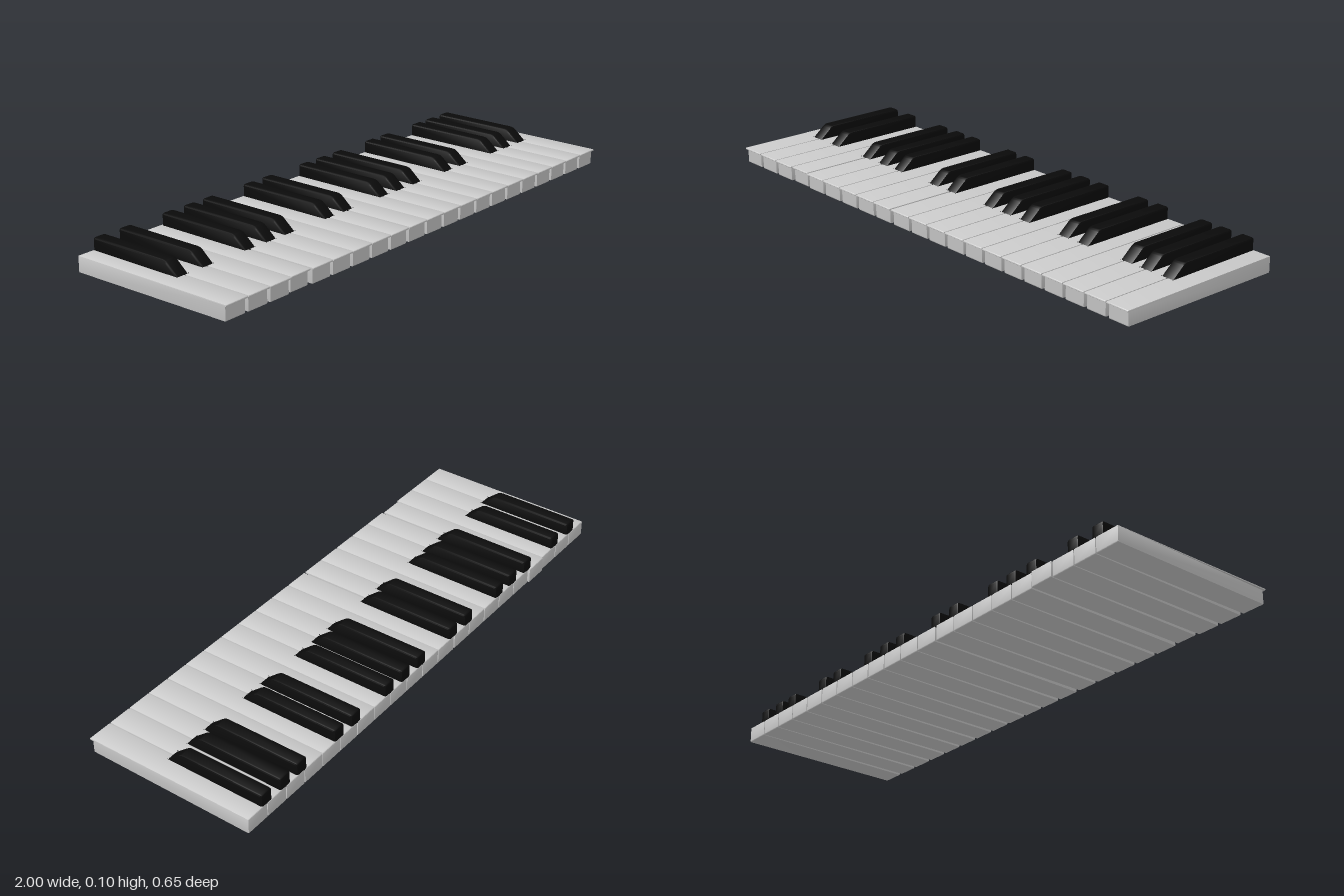
import * as THREE from 'three';
import { toCreasedNormals } from 'three/addons/utils/BufferGeometryUtils.js';

// Side outline from corners [z, y, radius], each corner rounded
function outline(corners) {
  const shape = new THREE.Shape();
  const n = corners.length;
  corners.forEach(([z, y, r], i) => {
    const here = new THREE.Vector2(z, y);
    const toward = ([a, b]) => new THREE.Vector2(a, b).sub(here).setLength(r).add(here);
    const a = toward(corners[(i + n - 1) % n]);
    const b = toward(corners[(i + 1) % n]);
    if (i === 0) shape.moveTo(a.x, a.y);
    else shape.lineTo(a.x, a.y);
    shape.quadraticCurveTo(z, y, b.x, b.y);
  });
  shape.closePath();
  return shape;
}

// Outline in z/y extruded across x with softened edges, centred on x = 0
function keyGeometry(corners, width, bevel) {
  const geometry = new THREE.ExtrudeGeometry(outline(corners), {
    depth: width - 2 * bevel, curveSegments: 3, bevelEnabled: true,
    bevelThickness: bevel, bevelSize: bevel, bevelOffset: -bevel, bevelSegments: 2,
  });
  geometry.translate(0, 0, bevel - width / 2);
  geometry.rotateY(-Math.PI / 2);
  return geometry;
}

// White key: body with a thin lip overhanging the front
const WHITE = [
  [0.318, 0, 0.004], [0.318, 0.05, 0.001], [0.326, 0.051, 0.002], [0.326, 0.057, 0.003],
  [-0.318, 0.057, 0.003], [-0.318, 0, 0.004],
];
// Black key: sloped front, rounded top edges
const BLACK = [
  [0.063, 0.053, 0.002], [0.005, 0.101, 0.012], [-0.317, 0.101, 0.008], [-0.317, 0.053, 0.002],
];

// The sides of a white key tuck in under the lip towards the front
function tuckSides(geometry) {
  const p = geometry.attributes.position;
  for (let i = 0; i < p.count; i++) {
    if (p.getY(i) > 0.0505) continue;
    const t = THREE.MathUtils.clamp((p.getZ(i) + 0.318) / 0.636, 0, 1);
    p.setX(i, p.getX(i) - Math.sign(p.getX(i)) * 0.005 * t);
  }
  return geometry;
}

// Seams between the white keys; the upper octaves are slightly narrower
const seam = (i) => (i <= 10 ? -1 + 0.0972 * i : -0.028 + (1.028 / 11) * (i - 10));

export function createModel() {
  const model = new THREE.Group();
  model.name = 'pianoKeyboard';
  const whiteMaterial = new THREE.MeshStandardMaterial({ color: 0xcccccc });
  const blackMaterial = new THREE.MeshStandardMaterial({ color: 0x0a0a0a });

  // Three octaves of white keys
  for (let i = 0; i < 21; i++) {
    const left = seam(i) + (i === 0 ? 0 : 0.0015);
    const right = seam(i + 1) - (i === 20 ? 0 : i === 3 || i === 8 ? 0.005 : 0.0015);
    const geometry = tuckSides(keyGeometry(WHITE, right - left, 0.002));
    const key = new THREE.Mesh(toCreasedNormals(geometry, 0.7), whiteMaterial);
    key.name = `whiteKey${i + 1}`;
    key.position.x = (left + right) / 2;
    if (i === 3) key.position.z = -0.005; // this key sits a little further back
    model.add(key);
  }

  // Black keys in groups of two and three over the seams
  const blackGeometry = toCreasedNormals(keyGeometry(BLACK, 0.049, 0.006), 0.7);
  const blackX = [
    -0.911, -0.8, -0.608, -0.509, -0.419, -0.218, -0.123, 0.073,
    0.164, 0.257, 0.444, 0.535, 0.731, 0.815, 0.907,
  ];
  blackX.forEach((x, i) => {
    const key = new THREE.Mesh(blackGeometry, blackMaterial);
    key.name = `blackKey${i + 1}`;
    key.position.x = x;
    model.add(key);
  });
  return model;
}
